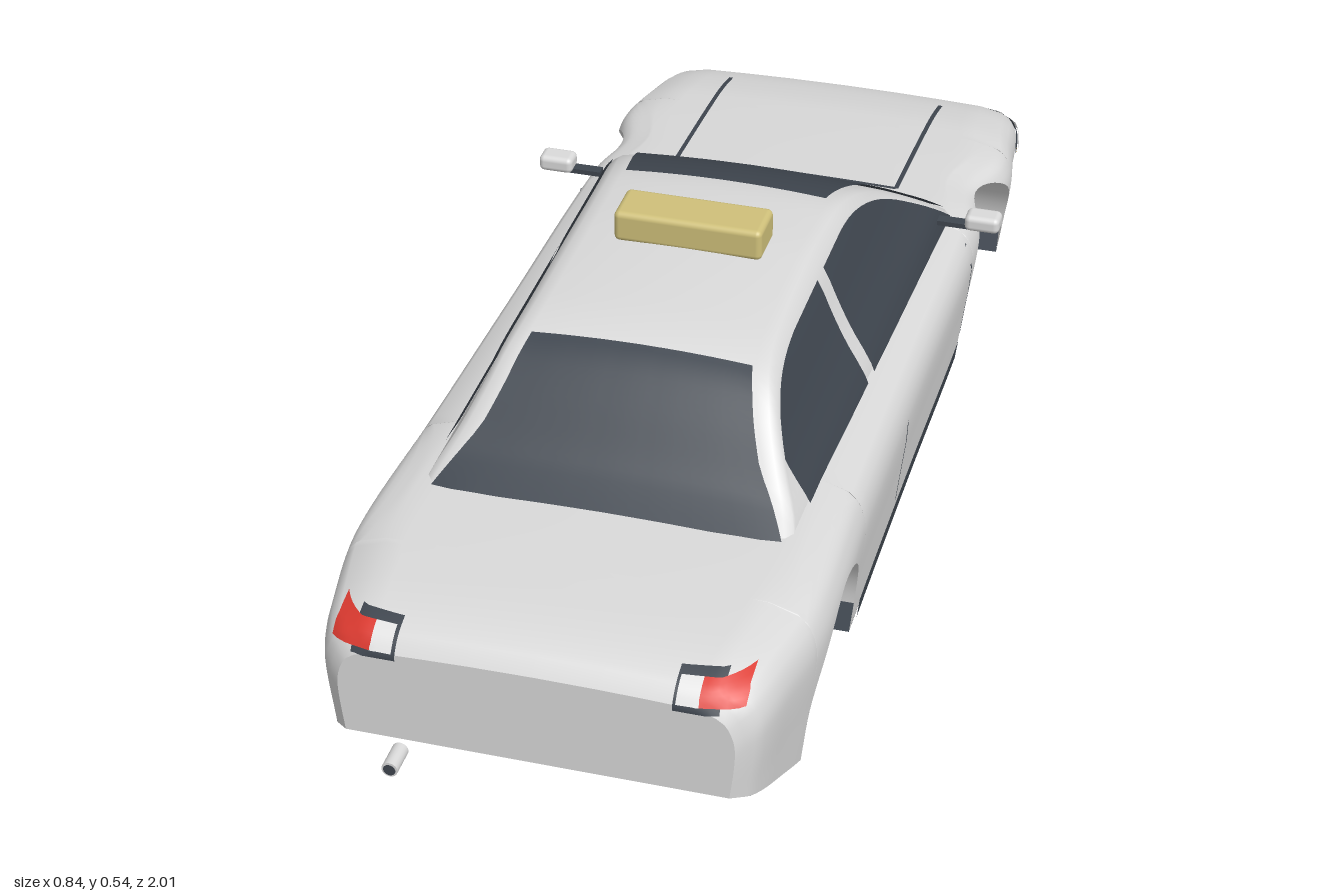
import * as THREE from 'three';
import { RoundedBoxGeometry } from 'three/addons/geometries/RoundedBoxGeometry.js';

const V = (x, y, z) => new THREE.Vector3(x, y, z);

// Smooth interpolation through [key, value] pairs
function curve(p) {
  const slope = (i) => {
    const a = p[Math.max(i - 1, 0)], b = p[Math.min(i + 1, p.length - 1)];
    return (b[1] - a[1]) / (b[0] - a[0]);
  };
  return (k) => {
    if (k <= p[0][0]) return p[0][1];
    if (k >= p[p.length - 1][0]) return p[p.length - 1][1];
    let i = 0;
    while (k > p[i + 1][0]) i++;
    const d = p[i + 1][0] - p[i][0], t = (k - p[i][0]) / d, t2 = t * t, t3 = t2 * t;
    return (2 * t3 - 3 * t2 + 1) * p[i][1] + (t3 - 2 * t2 + t) * d * slope(i)
      + (3 * t2 - 2 * t3) * p[i + 1][1] + (t3 - t2) * d * slope(i + 1);
  };
}

// Surface through rows of points
function skin(rows) {
  const n = rows[0].length, index = [];
  for (let i = 0; i < rows.length - 1; i++) {
    for (let j = 0; j < n - 1; j++) {
      const a = i * n + j, b = a + n;
      index.push(a, a + 1, b, b, a + 1, b + 1);
    }
  }
  const g = new THREE.BufferGeometry().setFromPoints(rows.flat());
  g.setIndex(index);
  g.computeVertexNormals();
  return g;
}
const mirrored = (half) => half.concat(half.slice(0, -1).reverse().map((p) => V(-p.x, p.y, p.z)));
const steps = (a, b, n) => Array.from({ length: n + 1 }, (_, i) => a + (b - a) * i / n);

// Body shape along z (nose at -z): half width, deck height, underside, side bulge
const width = curve([[-1, .315], [-.97, .34], [-.85, .358], [-.72, .375], [-.6, .35], [-.5, .366], [0, .37],
  [.4, .375], [.7, .385], [.85, .364], [.95, .34], [.98, .31]]);
const deck = curve([[-1, .183], [-.97, .202], [-.9, .225], [-.8, .243], [-.4, .27], [0, .288], [.4, .303],
  [.62, .306], [.8, .305], [.9, .299], [.96, .282], [.98, .26]]);
const under = (z) => z < -.76 ? .01 + .06 * (-.76 - z) / .24 : z > .76 ? .01 + .092 * (z - .76) / .22 : .01;
const bulge = curve([[0, .94], [.3, .967], [.7, 1], [.85, .98], [.95, .92], [1, .8]]);
const sideX = (z, y) => width(z) * bulge((y - .01) / (deck(z) - .01));
const ARCHES = [-.6, .597], R = .165, ARCH_Y = .07;

function bodySection(z, yb) {
  const half = steps(yb, deck(z), 16).map((y) => V(sideX(z, y), y, z));
  for (const k of [.9, .7, .4, 0]) half.push(V(width(z) * .8 * k, deck(z) + .006 * (1 - k * k), z));
  return mirrored(half);
}

// Cabin shape: roof line along z and half width by height
const roof = curve([[-.5, .255], [-.42, .315], [-.34, .372], [-.26, .423], [-.18, .462], [-.1, .485], [0, .494],
  [.1, .497], [.3, .491], [.38, .48], [.43, .459], [.48, .417], [.55, .345], [.59, .318], [.63, .295]]);
const cabinX = curve([[.25, .315], [.3, .3], [.36, .266], [.42, .238], [.46, .222], [.5, .2]]);
function cabinSection(z) {
  const h = roof(z), e = cabinX(h);
  const half = steps(.235, h - .014, 10).map((y) => V(cabinX(y), y, z));
  half.push(V(e - .008, h - .004, z), V(e - .028, h, z));
  for (const k of [.66, .33, 0]) half.push(V((e - .028) * k, h + .008 * (1 - k * k), z));
  return mirrored(half);
}

export function createModel() {
  const car = new THREE.Group();
  car.name = 'taxiBody';
  const mat = (name, color) => {
    const m = new THREE.MeshStandardMaterial({ color, side: THREE.DoubleSide });
    m.name = name;
    return m;
  };
  const paint = mat('lightPaint', 0xdadada), dark = mat('darkGlassAndTrim', 0x3f464f);
  const red = mat('tailRed', 0xdc3a30), signYellow = mat('signYellow', 0xcfc07a);
  const lens = mat('clearLens', 0xe4e4e4), amber = mat('amber', 0xd9a83a);
  const add = (name, geo, m, x = 0, y = 0, z = 0) => {
    const mesh = new THREE.Mesh(geo, m);
    mesh.name = name;
    mesh.position.set(x, y, z);
    car.add(mesh);
    return mesh;
  };

  // Body shell with wheel arches cut into its lower edge
  const rows = [], plain = (a, b, n) => steps(a, b, n).forEach((z) => rows.push([z, under(z)]));
  const arch = (c) => steps(0, Math.PI, 28).map((a) => [c - R * Math.cos(a), ARCH_Y + R * Math.sin(a)]);
  plain(-1, ARCHES[0] - R, 16);
  rows.push(...arch(ARCHES[0]));
  plain(ARCHES[0] + R, ARCHES[1] - R, 24);
  rows.push(...arch(ARCHES[1]));
  plain(ARCHES[1] + R, .98, 20);
  const shell = [add('bodyShell', skin(rows.map(([z, yb]) => bodySection(z, yb))), paint)];
  for (const [name, z] of [['nosePanel', -1], ['tailPanel', .98]]) {
    const s = bodySection(z, under(z)), n = (s.length + 1) / 2;
    shell.push(add(name, skin(s.slice(0, n).map((p) => [p, V(-p.x, p.y, z)])), paint));
  }

  // Arch linings
  for (const c of ARCHES) {
    for (const s of [-1, 1]) {
      add('archLining', skin(arch(c).map(([z, y]) => [V(s * .2, y, z), V(s * sideX(z, y), y, z)])), paint);
    }
  }

  // Floor, narrowed between the wheels and rising at both ends
  const floorRows = [];
  const floor = (a, b, n, w) => steps(a, b, n).forEach((z) => {
    const x = w ?? sideX(z, under(z));
    floorRows.push([V(-x, under(z), z), V(x, under(z), z)]);
  });
  floor(-1, ARCHES[0] - R, 8);
  floor(ARCHES[0] - R, ARCHES[0] + R, 2, .22);
  floor(ARCHES[0] + R, ARCHES[1] - R, 6);
  floor(ARCHES[1] - R, ARCHES[1] + R, 2, .22);
  floor(ARCHES[1] + R, .98, 8);
  add('floor', skin(floorRows), dark);

  const cabin = [add('cabin', skin(steps(-.5, .63, 64).map(cabinSection)), paint)];

  // Thin plates laid onto a surface: at(s, t) gives ray starts along dir
  const ray = new THREE.Raycaster();
  car.updateMatrixWorld(true);
  function plate(name, targets, m, dir, nu, nv, at, lift = .004) {
    let last = null;
    const pts = steps(0, 1, nu).map((s) => steps(0, 1, nv).map((t) => {
      ray.set(at(s, t), dir);
      const hit = ray.intersectObjects(targets, false)[0];
      if (hit) {
        const n = hit.face.normal.clone();
        if (n.dot(dir) > 0) n.negate();
        last = hit.point.clone().addScaledVector(n, lift);
      }
      return last ? last.clone() : at(s, t).addScaledVector(dir, 1);
    }));
    add(name, skin(pts), m);
  }
  const mix = THREE.MathUtils.lerp;
  const down = V(0, -1, 0);

  // Windscreen and rear window
  const screen = (name, z0, z1) => plate(name, cabin, dark, down, 24, 16, (s, t) => {
    const z = mix(z0, z1, s);
    const edge = cabinX(roof(z)) - .012 - .022 * Math.min(1, Math.abs(z - z0) / .1);
    return V(mix(-edge, edge, t), 2, z);
  });
  screen('windscreen', -.492, -.1);
  screen('rearWindow', .618, .4);

  // Bonnet gaps
  for (const x of [-.205, .205]) {
    plate('bonnetGap', shell, dark, down, 16, 1, (s, t) => V(x + (t - .5) * .008, 2, mix(-.9, -.52, s)));
  }
  plate('bonnetGap', shell, dark, down, 16, 1, (s, t) => V(mix(-.205, .205, s), 2, -.52 + (t - .5) * .008));

  // Grille
  plate('grille', shell, dark, V(0, 0, 1), 8, 3, (s, t) => V(mix(-.23, .23, s), mix(.085, .14, t), -2));

  for (const side of [-1, 1]) {
    const inward = V(-side, 0, 0);
    const sidePlate = (name, m, z0, z1, y0, y1, lift) => plate(name, shell, m, inward, 12, 4,
      (s, t) => V(side * 2, mix(y0, y1, t), mix(z0, z1, s)), lift);
    const endPlate = (name, m, dz, x0, x1, y0, y1, lift) => plate(name, shell, m, V(0, 0, dz), 8, 6,
      (s, t) => V(side * mix(x0, x1, s), mix(y0, y1, t), -2 * dz), lift);

    // Side windows with a pillar between them
    for (const [name, z0, z1] of [['frontSideWindow', -.478, .09], ['rearSideWindow', .13, .5]]) {
      plate(name, cabin, dark, inward, 24, 8, (s, t) => {
        const z = mix(z0, z1, s), low = deck(z) - .015;
        return V(side * 2, mix(low, Math.max(low, Math.min(.474, roof(z) - .018)), t), z);
      });
    }

    // Door gaps and sill
    sidePlate('doorGap', dark, .107, .113, .05, .212, .002);
    sidePlate('doorGap', dark, -.418, -.412, .05, .24, .002);
    sidePlate('sill', dark, -.395, .39, .011, .046);

    // Headlamp wrapping the corner
    endPlate('headlampFrame', dark, 1, .2, .312, .146, .182, .003);
    endPlate('headlampLens', lens, 1, .208, .305, .152, .176, .006);
    sidePlate('headlampFrame', dark, -.99, -.88, .158, .178, .003);
    sidePlate('headlampLens', lens, -.985, -.9, .16, .172, .006);
    sidePlate('indicator', amber, -.937, -.923, .134, .146, .003);

    // Tail lamp
    endPlate('tailLampFrame', dark, -1, .215, .285, .253, .296, .003);
    endPlate('tailLampRed', red, -1, .254, .318, .262, .29, .006);
    endPlate('reverseLens', lens, -1, .22, .254, .262, .29, .006);

    // Door mirror
    add('mirror', new RoundedBoxGeometry(.062, .03, .042, 3, .01), paint, side * .391, .308, -.392);
    add('mirrorStalk', new THREE.BoxGeometry(.06, .009, .02), dark, side * .34, .296, -.392);
  }

  // Roof sign
  add('roofSign', new RoundedBoxGeometry(.25, .055, .085, 3, .01), signYellow, 0, .526, .096);

  // Exhaust pipe with dark bore
  const pipe = new THREE.CylinderGeometry(.013, .013, .05, 20).rotateX(Math.PI / 2);
  add('exhaust', pipe, paint, -.227, .054, .975);
  add('exhaustBore', new THREE.CircleGeometry(.01, 20), dark, -.227, .054, 1.001);
  return car;
}
